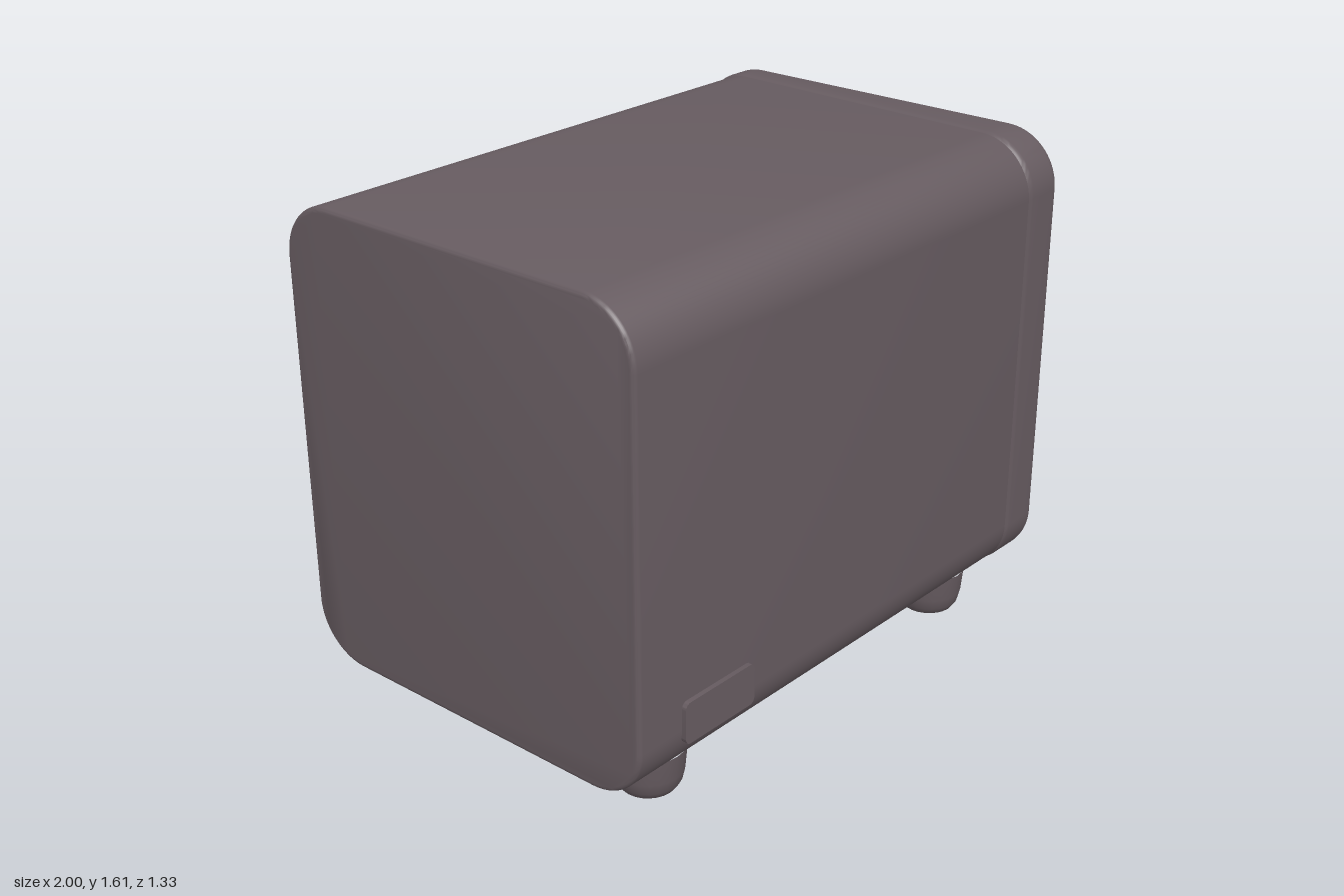
import * as THREE from 'three';
import { toCreasedNormals } from 'three/addons/utils/BufferGeometryUtils.js';

// The casing is slightly skewed: both end faces lean along z, the seam at x = 0.8 stays straight.
function slant(geo) {
  const p = geo.attributes.position;
  for (let i = 0; i < p.count; i++) {
    const x = p.getX(i);
    const k = x > 0.8 ? 0.042 * Math.min(1, (x - 0.8) / 0.1) : 0.031 * Math.min(1, (0.8 - x) / 1.7);
    p.setX(i, x + p.getZ(i) * k);
  }
  return toCreasedNormals(geo, 0.65);
}

// Rounded rectangle in (u, y), where u = -z
function roundedRect(u0, u1, y0, y1, r, Type = THREE.Shape) {
  const s = new Type();
  s.moveTo(u0 + r, y0);
  s.lineTo(u1 - r, y0);
  s.absarc(u1 - r, y0 + r, r, -Math.PI / 2, 0);
  s.lineTo(u1, y1 - r);
  s.absarc(u1 - r, y1 - r, r, 0, Math.PI / 2);
  s.lineTo(u0 + r, y1);
  s.absarc(u0 + r, y1 - r, r, Math.PI / 2, Math.PI);
  s.lineTo(u0, y0 + r);
  s.absarc(u0 + r, y0 + r, r, Math.PI, Math.PI * 1.5);
  return s;
}

// Extrudes a (u, y) shape along x from x0 to x1 with rounded rims
function extrudeX(shape, x0, x1, bevel, steps = 4) {
  const geo = new THREE.ExtrudeGeometry(shape, {
    depth: x1 - x0 - 2 * bevel, curveSegments: 10,
    bevelEnabled: true, bevelThickness: bevel, bevelSize: bevel, bevelOffset: -bevel, bevelSegments: steps,
  });
  geo.translate(0, 0, x0 + bevel).rotateY(Math.PI / 2);
  return slant(geo);
}

const polygon = (pts) => new THREE.Shape(pts.map(([u, y]) => new THREE.Vector2(u, y)));

export function createModel() {
  const group = new THREE.Group();
  const casing = new THREE.MeshStandardMaterial({ color: 0x665b60 });
  casing.name = 'warm grey';
  const add = (name, geo) => {
    const m = new THREE.Mesh(geo, casing);
    m.name = name;
    group.add(m);
    return m;
  };

  // Casing, rounded frame and recessed panel
  add('body', extrudeX(roundedRect(-0.65, 0.66, 0.125, 1.603, 0.18), -0.98, 0.81, 0.015));
  const frame = roundedRect(-0.655, 0.665, 0.125, 1.608, 0.18);
  frame.holes.push(roundedRect(-0.57, 0.6, 0.2, 1.54, 0.1, THREE.Path));
  add('frame', extrudeX(frame, 0.775, 0.918, 0.03, 6));
  add('panel', extrudeX(roundedRect(-0.59, 0.62, 0.18, 1.56, 0.1), 0.8, 0.885, 0.002, 1));

  // Raised connector plates on the panel
  const plates = {
    upperLeftConnector: [[-0.42, 1.21], [-0.39, 1.21], [-0.365, 1.25], [-0.115, 1.255], [-0.1, 1.225],
      [-0.065, 1.215], [-0.06, 1.18], [-0.03, 1.17], [-0.025, 1.135], [-0.06, 1.125], [-0.07, 1.1],
      [-0.1, 1.09], [-0.12, 1.07], [-0.365, 1.075], [-0.385, 1.11], [-0.43, 1.11], [-0.45, 1.155]],
    upperRightConnector: [[0.09, 1.18], [0.125, 1.19], [0.13, 1.23], [0.355, 1.245], [0.375, 1.205],
      [0.405, 1.19], [0.41, 1.175], [0.445, 1.17], [0.445, 1.135], [0.41, 1.13], [0.405, 1.105],
      [0.375, 1.1], [0.365, 1.07], [0.14, 1.075], [0.12, 1.11], [0.09, 1.135]],
    lowerLeftConnector: [[-0.43, 0.83], [-0.385, 0.905], [-0.2, 0.905], [-0.185, 0.88], [-0.2, 0.82],
      [-0.22, 0.75], [-0.24, 0.74], [-0.38, 0.745]],
    lowerMiddleConnector: [[-0.185, 0.88], [-0.14, 0.875], [-0.125, 0.91], [0.095, 0.905], [0.095, 0.77],
      [0.05, 0.76], [0.03, 0.785], [0.02, 0.755], [-0.13, 0.75], [-0.14, 0.77], [-0.195, 0.78], [-0.2, 0.82]],
    lowerRightConnector: [[0.14, 0.83], [0.21, 0.91], [0.465, 0.92], [0.48, 0.81], [0.4, 0.73], [0.22, 0.735]],
  };
  for (const [name, pts] of Object.entries(plates)) add(name, extrudeX(polygon(pts), 0.87, 0.92, 0.004, 1));
  add('panelSwitch', extrudeX(roundedRect(-0.06, 0.16, 0.245, 0.39, 0.02), 0.87, 0.91, 0.005, 2));

  // Carrying handle with bent ends
  const path = new THREE.CatmullRomCurve3([
    [0.86, 0.395], [0.9, 0.39], [0.925, 0.36], [0.925, 0.28], [0.925, -0.31], [0.925, -0.39], [0.9, -0.42], [0.86, -0.425],
  ].map(([x, z]) => new THREE.Vector3(x, 1.455, z)), false, 'centripetal');
  add('handle', slant(new THREE.TubeGeometry(path, 60, 0.036, 14)));

  // Domed knobs with a thin stem
  const knobProfile = [[0.065, 0.87], [0.065, 0.9], [0.058, 0.918], [0.042, 0.933], [0.022, 0.942],
    [0.022, 0.978], [0.018, 0.983], [0, 0.983]].map(([r, h]) => new THREE.Vector2(r, h));
  for (const [name, z] of [['leftKnob', 0.395], ['rightKnob', -0.415]]) {
    const geo = new THREE.LatheGeometry(knobProfile, 20).rotateZ(-Math.PI / 2).translate(0, 0.32, z);
    add(name, slant(geo));
  }

  // Label plate on the front side
  const label = new THREE.ExtrudeGeometry(roundedRect(-0.79, -0.5, 0.26, 0.393, 0.02), {
    depth: 0.025, bevelEnabled: false, curveSegments: 5,
  });
  add('sidePlate', toCreasedNormals(label.translate(0, 0, 0.64), 0.65));

  // Four tapered round feet
  const footProfile = [[0, 0.005], [0.06, 0.005], [0.085, 0.012], [0.1, 0.035], [0.108, 0.07], [0.115, 0.15]]
    .map(([r, y]) => new THREE.Vector2(r, y));
  const foot = toCreasedNormals(new THREE.LatheGeometry(footProfile, 24), 0.8);
  for (const x of [-0.72, 0.65]) {
    for (const z of [0.455, -0.487]) add('foot', foot).position.set(x, -0.005, z);
  }
  return group;
}
